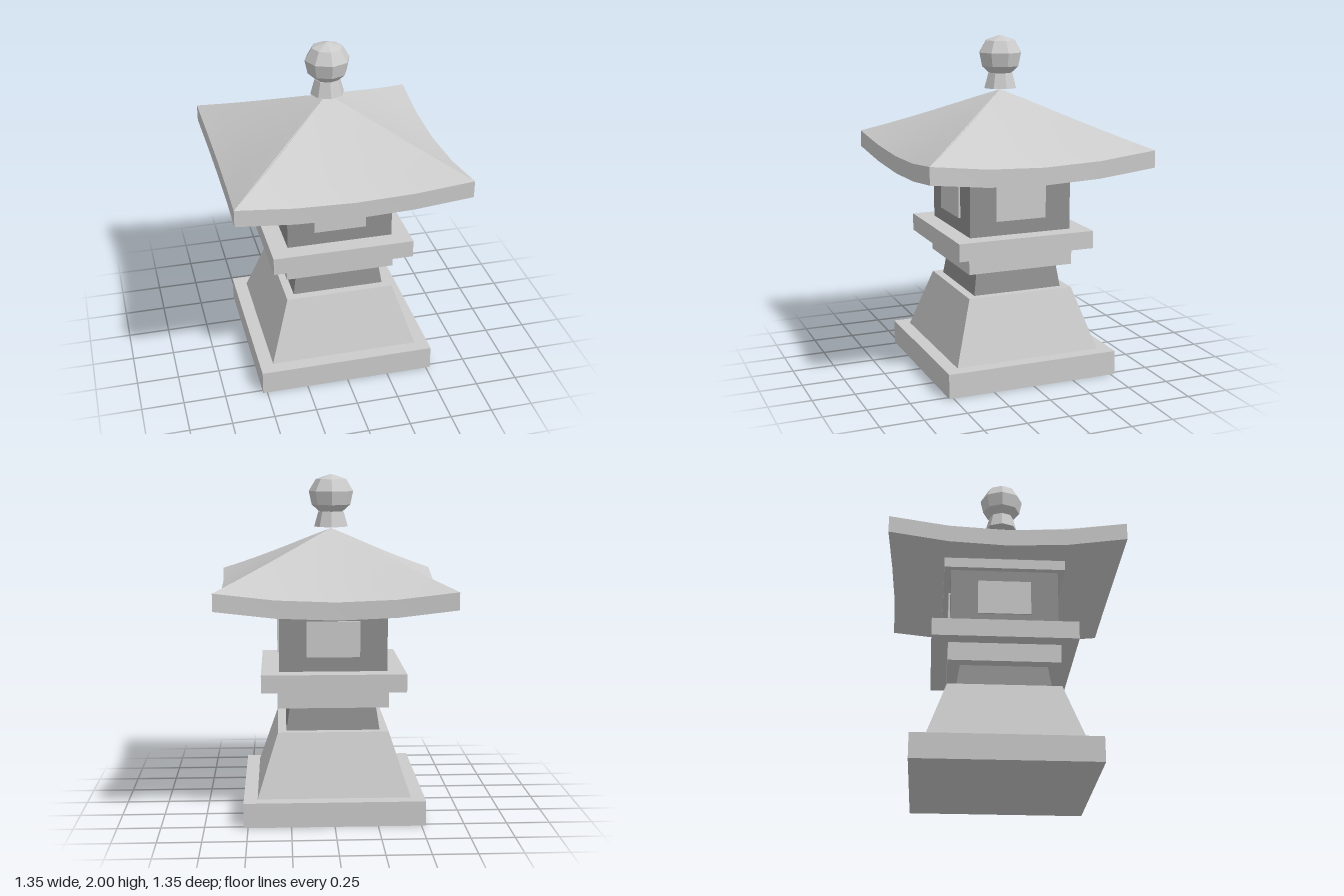
import * as THREE from 'three';

const stone = new THREE.MeshStandardMaterial({ color: 0xcccccc });
const darkStone = new THREE.MeshStandardMaterial({ color: 0x909090 });
const facetedStone = new THREE.MeshStandardMaterial({ color: 0xcccccc, flatShading: true });

// Square block from y0 to y1, tapering from half width h0 to h1
function block(name, h0, h1, y0, y1, material = stone) {
  const geo = new THREE.BoxGeometry(2, y1 - y0, 2);
  const pos = geo.attributes.position;
  for (let i = 0; i < pos.count; i++) {
    const h = pos.getY(i) > 0 ? h1 : h0;
    pos.setX(i, pos.getX(i) * h);
    pos.setZ(i, pos.getZ(i) * h);
  }
  geo.translate(0, (y0 + y1) / 2, 0);
  geo.computeVertexNormals();
  const mesh = new THREE.Mesh(geo, material);
  mesh.name = name;
  return mesh;
}

// Point of the front roof slope: s runs apex to eave, t runs -1 to 1 across
function roofPoint(s, t) {
  const lift = t * t * s * s;
  const reach = 0.655 + 0.02 * lift;
  return [t * s * 0.675, 1.68 - 0.36 * Math.pow(s, 1.08) + 0.055 * lift, reach * s];
}

// Grid surface of (nu x nv) cells from a point function
function gridSurface(point, nu, nv) {
  const pos = [], index = [];
  for (let i = 0; i <= nu; i++)
    for (let j = 0; j <= nv; j++) pos.push(...point(i / nu, (j / nv) * 2 - 1));
  for (let i = 0; i < nu; i++)
    for (let j = 0; j < nv; j++) {
      const a = i * (nv + 1) + j, b = a + nv + 1;
      index.push(a, b, b + 1, a, b + 1, a + 1);
    }
  const geo = new THREE.BufferGeometry();
  geo.setAttribute('position', new THREE.Float32BufferAttribute(pos, 3));
  geo.setIndex(index);
  geo.computeVertexNormals();
  return geo;
}

export function createModel() {
  const model = new THREE.Group();
  model.name = 'stoneLantern';

  // Stacked square stonework
  model.add(
    block('base', 0.525, 0.525, 0, 0.145),
    block('pedestal', 0.445, 0.325, 0.145, 0.51),
    block('neck', 0.275, 0.253, 0.51, 0.655, darkStone),
    block('lowerSlab', 0.325, 0.325, 0.655, 0.765),
    block('platform', 0.42, 0.42, 0.765, 0.87),
    block('lampChamber', 0.315, 0.315, 0.87, 1.32, darkStone),
    block('chamberCornice', 0.355, 0.355, 1.235, 1.295)
  );

  // Four sides of the roof, each with slope, eave edge and underside, and a window
  const thickness = 0.1;
  const slope = gridSurface(roofPoint, 6, 4);
  const edge = gridSurface((u, t) => {
    const [x, y, z] = roofPoint(1, t);
    return [x, y - u * thickness, z];
  }, 1, 4);
  // Mirrored across so that it faces down
  const underside = gridSurface((s, t) => {
    const [x, y, z] = roofPoint(s, -t);
    return [x, y - thickness, z];
  }, 6, 4);
  const windowGeo = new THREE.BoxGeometry(0.31, 0.21, 0.02);

  const roof = new THREE.Group();
  roof.name = 'roof';
  const windows = new THREE.Group();
  windows.name = 'windows';
  for (let k = 0; k < 4; k++) {
    const angle = (k * Math.PI) / 2;
    const parts = { roofSlope: slope, eaveEdge: edge, roofUnderside: underside };
    for (const [name, geo] of Object.entries(parts)) {
      const mesh = new THREE.Mesh(geo, stone);
      mesh.name = name;
      mesh.rotation.y = angle;
      roof.add(mesh);
    }
    const pane = new THREE.Mesh(windowGeo, stone);
    pane.name = 'windowPane';
    pane.position.set(Math.sin(angle) * 0.315, 1.06, Math.cos(angle) * 0.315);
    pane.rotation.y = angle;
    windows.add(pane);
  }
  model.add(roof, windows);

  // Eight-sided finial: collar and faceted jewel
  const collar = new THREE.Mesh(new THREE.CylinderGeometry(0.075, 0.1, 0.09, 8), facetedStone);
  collar.name = 'finialCollar';
  collar.position.y = 1.735;
  const profile = [[0, 1.775], [0.065, 1.775], [0.115, 1.82], [0.132, 1.9], [0.09, 1.97], [0, 2]];
  const jewel = new THREE.Mesh(
    new THREE.LatheGeometry(profile.map(([r, y]) => new THREE.Vector2(r, y)), 8),
    facetedStone
  );
  jewel.name = 'finialJewel';
  model.add(collar, jewel);

  return model;
}
